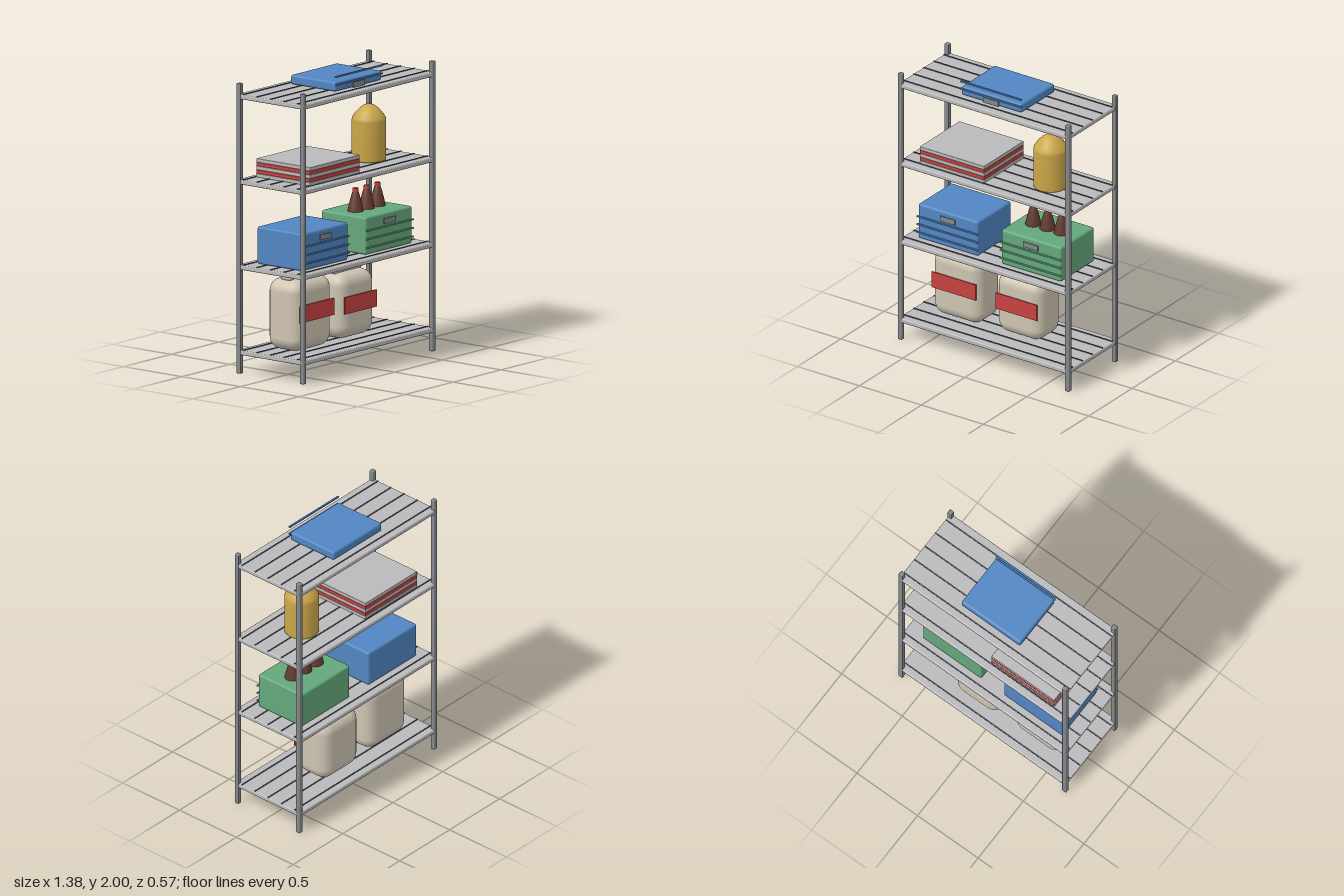
import * as THREE from 'three';
import { RoundedBoxGeometry } from 'three/addons/geometries/RoundedBoxGeometry.js';

const mat = (name, color) => {
  const m = new THREE.MeshStandardMaterial({ color });
  m.name = name;
  return m;
};

export function createModel() {
  const root = new THREE.Group();
  root.name = 'stockedShelf';
  const M = {
    steel: mat('postSteel', 0x85888b),
    plate: mat('shelfGrey', 0xbababc),
    groove: mat('grooveDark', 0x4c4f53),
    blue: mat('crateBlue', 0x5286c2),
    green: mat('crateGreen', 0x64a87c),
    brown: mat('bottleBrown', 0x633a2d),
    red: mat('red', 0xc8423f),
    gold: mat('canisterGold', 0xcba748),
    cream: mat('jugCream', 0xcfc5b2),
  };

  const group = (name, x, y, z) => {
    const g = new THREE.Group();
    g.name = name;
    g.position.set(x, y, z);
    root.add(g);
    return g;
  };
  const add = (parent, name, geo, material, x, y, z) => {
    const m = new THREE.Mesh(geo, material);
    m.name = name;
    m.position.set(x, y, z);
    parent.add(m);
    return m;
  };
  // Box standing on y; rounded when r > 0
  const box = (parent, name, material, [w, h, d], [x, y, z], r = 0) =>
    add(parent, name, r ? new RoundedBoxGeometry(w, h, d, 4, r) : new THREE.BoxGeometry(w, h, d),
      material, x, y + h / 2, z);
  const lathe = (parent, name, material, points, x, y, z) =>
    add(parent, name, new THREE.LatheGeometry(points.map(([r, h]) => new THREE.Vector2(r, h)), 32),
      material, x, y, z);

  // Four corner posts
  for (const sx of [-1, 1]) for (const sz of [-1, 1])
    box(root, 'post', M.steel, [0.033, 1.963, 0.033], [sx * 0.675, 0, sz * 0.27], 0.006);

  // Shelves with dark lengthwise strips
  const TOPS = [0.159, 0.735, 1.312, 1.889];
  TOPS.forEach((top, i) => {
    const g = group('shelf' + (i + 1), 0, top, 0);
    box(g, 'shelfPlate', M.plate, [1.375, 0.032, 0.57], [0, -0.032, 0], 0.008);
    for (let k = -2; k <= 2; k++)
      box(g, 'shelfStrip', M.groove, [1.365, 0.007, 0.008], [0, -0.002, k * 0.116 - 0.002]);
  });

  // Crate: body, front ribs and a grip plate
  const crate = (name, material, x, y, h, ribs, gripY) => {
    const g = group(name, x, y, 0);
    box(g, 'crateBody', material, [0.485, h, 0.385], [0, 0, 0], 0.015);
    for (const ry of ribs)
      box(g, 'crateRib', material, [0.492, 0.01, 0.012], [0, ry - 0.005, 0.196]);
    box(g, 'crateGrip', M.steel, [0.12, 0.036, 0.009], [0, gripY - 0.018, 0.196]);
    return g;
  };
  crate('blueCrate', M.blue, -0.35, 0.737, 0.253, [0.046, 0.104, 0.162], 0.199);
  const greenCrate = crate('greenCrate', M.green, 0.32, 0.737, 0.253, [0.046, 0.104, 0.162], 0.199);
  crate('topBox', M.blue, 0, 1.894, 0.064, [0.046, 0.101], 0.018);

  // Bottles rising out of the green crate
  for (const x of [-0.116, 0, 0.114]) {
    lathe(greenCrate, 'bottle', M.brown,
      [[0.055, 0.24], [0.053, 0.258], [0.044, 0.3], [0.032, 0.345], [0.021, 0.382], [0.017, 0.385]], x, 0, 0);
    add(greenCrate, 'bottleCap', new THREE.CylinderGeometry(0.019, 0.019, 0.025, 24), M.red, x, 0.396, 0);
  }

  // Jugs with cap and front label
  const jug = (name, x, z, w, h, d, capW, labelW, labelY) => {
    const g = group(name, x, 0.16, z);
    box(g, 'jugBody', M.cream, [w, h, d], [0, 0, 0], 0.085);
    box(g, 'jugCap', M.cream, [capW, 0.052, 0.09], [0, h - 0.008, 0], 0.016);
    box(g, 'jugLabel', M.red, [labelW, 0.115, 0.008], [0, labelY, d / 2 + 0.007]);
  };
  jug('largeJug', -0.35, -0.024, 0.394, 0.48, 0.28, 0.305, 0.354, 0.206);
  jug('smallJug', 0.136, -0.046, 0.368, 0.44, 0.274, 0.288, 0.333, 0.18);

  // Stack of flat cartons, alternating grey and red
  const stack = group('cartonStack', -0.293, 1.312, 0);
  for (let i = 0; i < 5; i++) {
    const grey = i % 2 === 0;
    box(stack, 'carton', grey ? M.plate : M.red, [0.52, 0.0254, 0.46], [0, i * 0.0254, 0], 0.004);
  }

  // Domed canister
  lathe(root, 'canister', M.gold,
    [[0, 0], [0.108, 0], [0.115, 0.008], [0.115, 0.27], [0.111, 0.29], [0.09, 0.322],
      [0.062, 0.352], [0.038, 0.37], [0.018, 0.376], [0, 0.376]], 0.344, 1.312, 0);

  return root;
}
